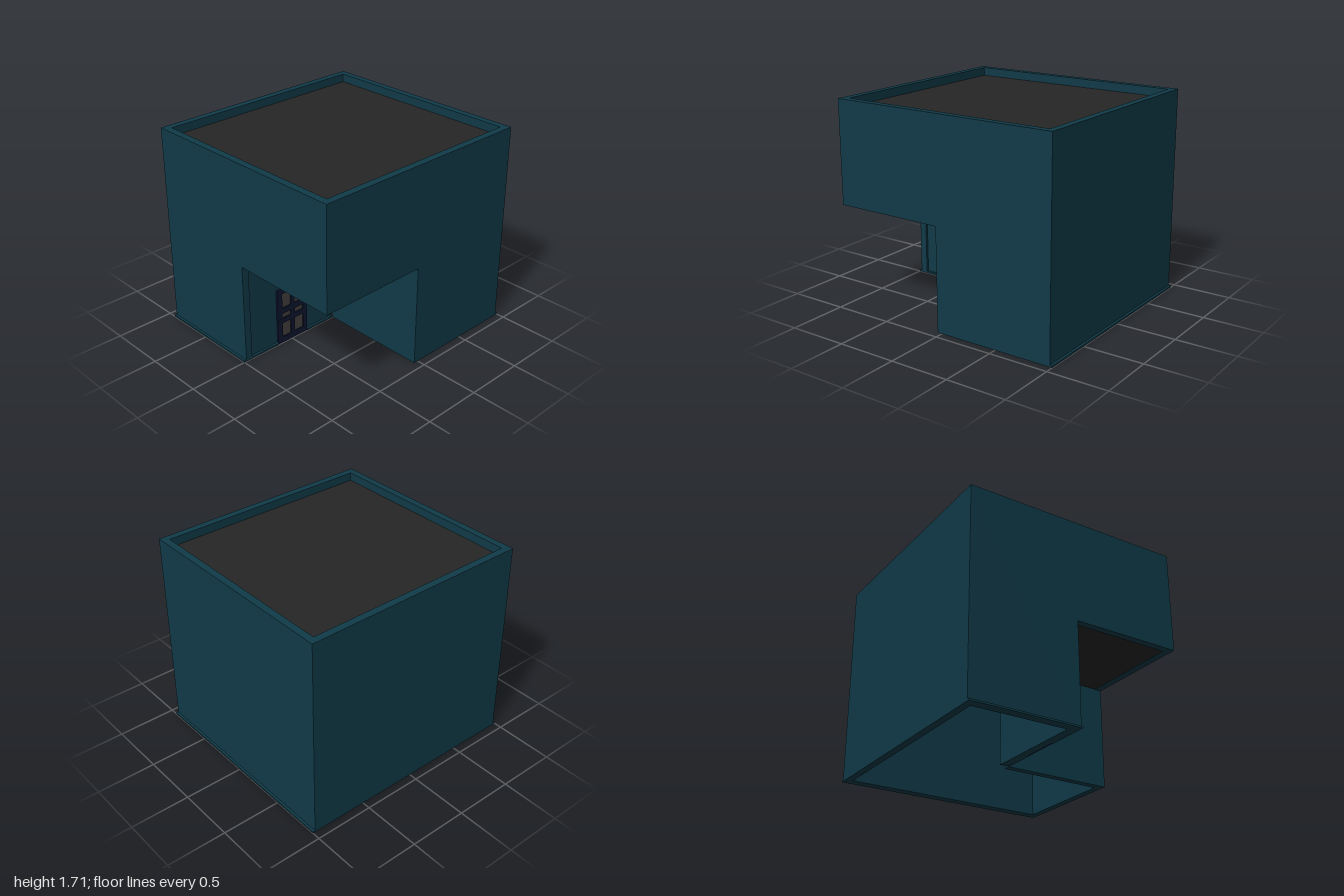
import * as THREE from 'three';

const paint = (color) => new THREE.MeshStandardMaterial({ color });
const teal = paint(0x103a48), dark = paint(0x262626), navy = paint(0x0d1630), glass = paint(0x45423f);

// Wall thickness, half width, outer half depth, height and overhang height
const T = 0.06, W = 0.93, D = 0.98, H = 1.71, OVER = 0.855;

export function createModel() {
  const model = new THREE.Group();

  const add = (name, geometry, material, parent = model) => {
    const mesh = new THREE.Mesh(geometry, material);
    mesh.name = name;
    parent.add(mesh);
    return mesh;
  };
  // Box given by its extents along each axis
  const block = (name, [x0, x1], [y0, y1], [z0, z1], material, parent) => {
    const g = new THREE.BoxGeometry(x1 - x0, y1 - y0, z1 - z0);
    g.translate((x0 + x1) / 2, (y0 + y1) / 2, (z0 + z1) / 2);
    return add(name, g, material, parent);
  };
  // Upright slab with the lower corner beyond "cut" left out
  const notchedSlab = (a, b, cut) => {
    const points = [[a, 0], [cut, 0], [cut, OVER], [b, OVER], [b, H], [a, H]];
    const shape = new THREE.Shape(points.map(([x, y]) => new THREE.Vector2(x, y)));
    return new THREE.ExtrudeGeometry(shape, { depth: T, bevelEnabled: false });
  };

  // Outer walls; they rise past the roof as a parapet
  add('frontWall', notchedSlab(-W, W, 0).translate(0, 0, D - T), teal);
  add('leftWall', notchedSlab(-D + T, D - T, 0.04).rotateY(-Math.PI / 2).translate(W, 0, 0), teal);
  block('rightWall', [-W, -W + T], [0, H], [-D + T, D - T], teal);
  block('backWall', [-W, W], [0, H], [-D, -D + T], teal);

  // Walls and ceiling of the porch cut into the front corner
  block('porchBackWall', [0, W - T], [0, 0.86], [0.04 - T, 0.04], teal);
  block('porchDoorWall', [-0.08, -0.02], [0, 0.86], [0.04, D - T], teal);
  block('porchCeiling', [-0.08, W - T], [0.86, 0.88], [0.04 - T, D - T], dark);

  // Flat roof, sunk below the parapet
  block('roof', [-W + T, W - T], [H - 0.09, H - 0.07], [-D + T, D - T], dark);

  // Base trim
  block('frontTrim', [-W, 0], [0, 0.015], [D, 1], teal);
  block('backTrim', [-W, W], [0, 0.015], [-1, -D], teal);
  block('doorTrimFront', [-0.02, 0], [0, 0.015], [0.64, D - T], teal);
  block('doorTrimBack', [-0.02, 0], [0, 0.015], [0.05, 0.33], teal);

  // Door: a frame with six panes and a small knob
  const door = new THREE.Group();
  door.name = 'door';
  model.add(door);
  const panes = [];
  for (const z of [[0.37, 0.46], [0.5, 0.59]])
    for (const y of [[0.05, 0.18], [0.225, 0.27], [0.32, 0.455]]) panes.push([z, y]);

  const frame = new THREE.Shape();
  frame.moveTo(0.33, 0).lineTo(0.64, 0).lineTo(0.64, 0.5).lineTo(0.33, 0.5).closePath();
  for (const [[z0, z1], [y0, y1]] of panes) {
    const hole = new THREE.Path();
    hole.moveTo(z0, y0).lineTo(z0, y1).lineTo(z1, y1).lineTo(z1, y0).closePath();
    frame.holes.push(hole);
    block('pane', [-0.03, -0.015], [y0, y1], [z0, z1], glass, door);
  }
  const frameShape = new THREE.ExtrudeGeometry(frame, { depth: 0.02, bevelEnabled: false });
  add('doorFrame', frameShape.rotateY(-Math.PI / 2).translate(-0.004, 0, 0), navy, door);
  add('doorKnob', new THREE.SphereGeometry(0.008, 12, 8), navy, door).position.set(-0.002, 0.22, 0.617);

  return model;
}
